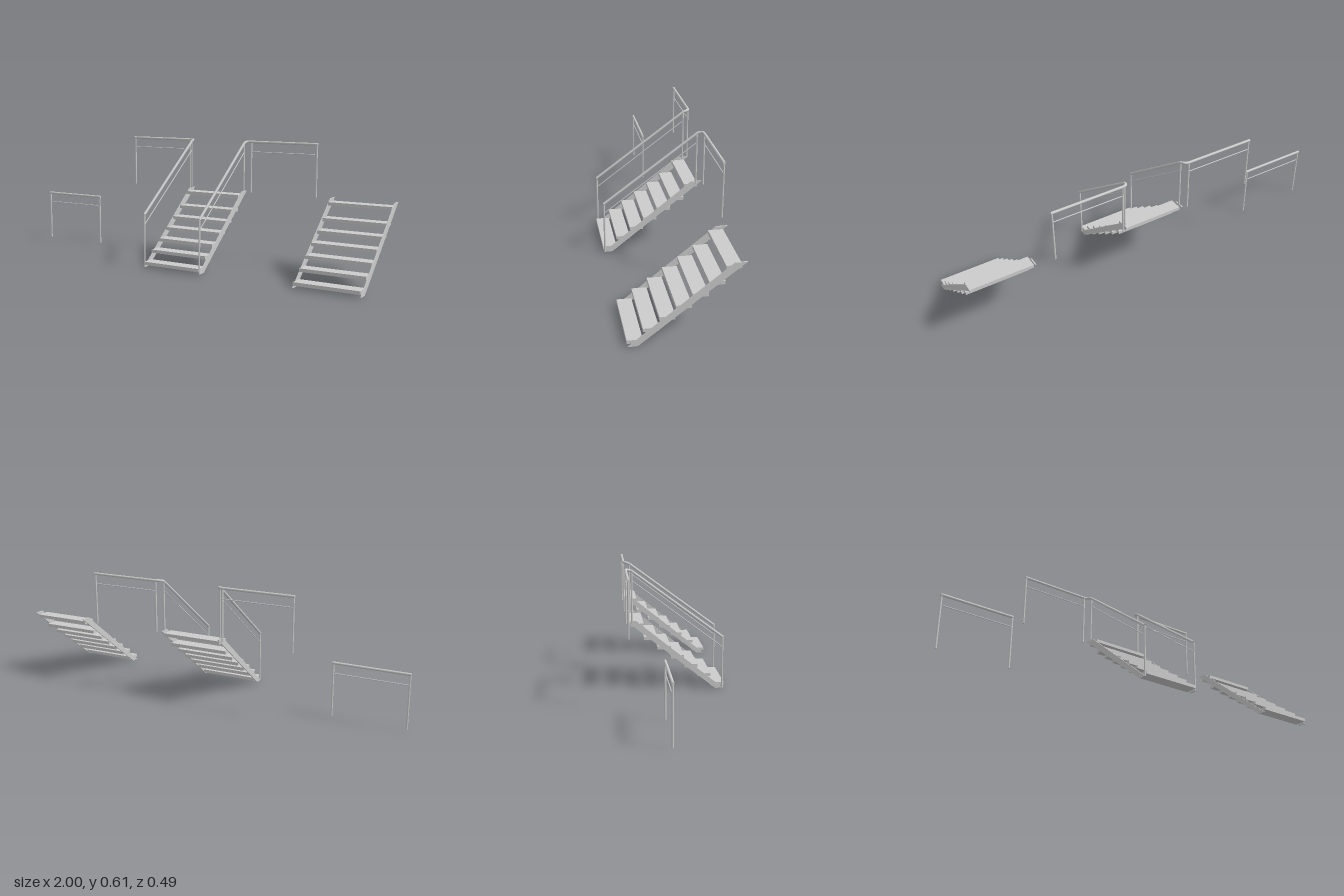
import * as THREE from 'three';

const mat = new THREE.MeshStandardMaterial({ color: 0xcccccc });
const V = (x, y, z) => new THREE.Vector3(x, y, z);

function add(group, geometry, name) {
  const mesh = new THREE.Mesh(geometry, mat);
  mesh.name = name;
  group.add(mesh);
  return mesh;
}

// Closed round bar between two points
function bar(group, a, b, radius, name) {
  const mesh = add(group, new THREE.CylinderGeometry(radius, radius, a.distanceTo(b), 12), name);
  mesh.position.copy(a).add(b).multiplyScalar(0.5);
  mesh.quaternion.setFromUnitVectors(V(0, 1, 0), b.clone().sub(a).normalize());
}

const POST = 0.0045, RAIL = 0.0065, THIN = 0.0025;

// Open flight: seven treads between two slanted stringers
function stair(cx) {
  const g = new THREE.Group();
  g.name = 'stair';
  const treadY = [0.02, 0.069, 0.116, 0.163, 0.21, 0.259, 0.326];
  treadY.forEach((y, i) => {
    const tread = add(g, new THREE.BoxGeometry(0.308, 0.016, 0.066), 'tread');
    tread.position.set(0, y, 0.215 - i * 0.0668);
  });
  // Profile drawn in (-z, y), then turned to stand along z
  const profile = new THREE.Shape([[-0.243, 0], [-0.203, 0], [0.238, 0.348], [0.189, 0.348]]
    .map(([u, v]) => new THREE.Vector2(u, v)));
  const t = 0.006;
  for (const s of [-1, 1]) {
    const geo = new THREE.ExtrudeGeometry(profile, { depth: t, bevelEnabled: false });
    geo.translate(0, 0, -t / 2).rotateY(Math.PI / 2);
    add(g, geo, 'stringer').position.x = s * 0.156;
  }
  g.position.x = cx;
  return g;
}

// Two posts and a thin mid rail, parallel to x
function levelFrame(g, x0, x1, y0, y1, z) {
  for (const x of [x0, x1]) bar(g, V(x, y0, z), V(x, y1, z), POST, 'post');
  bar(g, V(x0, y1 - 0.051, z), V(x1, y1 - 0.051, z), THIN, 'midRail');
}

// Handrail climbing one side of the flight, then turning outward along the landing
function stairRailing(x, side) {
  const g = new THREE.Group();
  g.name = 'stairRailing';
  const top = 0.601, zBack = -0.24;
  const bendStart = V(x, 0.596, -0.212), corner = V(x, top + 0.003, zBack);
  const bendEnd = V(x + side * 0.026, top, zBack), end = V(x + side * 0.39, top, zBack);

  bar(g, V(x, 0.261, 0.2395), bendStart, RAIL, 'slopedHandrail');
  add(g, new THREE.TubeGeometry(new THREE.QuadraticBezierCurve3(bendStart, corner, bendEnd),
    10, RAIL, 12), 'handrailBend');
  bar(g, bendEnd, end, RAIL, 'landingHandrail');

  bar(g, V(x, 0, 0.239), V(x, 0.262, 0.239), POST, 'lowerPost');
  bar(g, V(x, 0.335, -0.21), V(x, 0.594, -0.21), POST, 'upperPost');
  bar(g, V(x, 0.212, 0.237), V(x, 0.546, -0.208), THIN, 'slopedMidRail');
  levelFrame(g, x + side * 0.027, x + side * 0.385, 0.34, top, zBack);
  return g;
}

export function createModel() {
  const model = new THREE.Group();
  model.name = 'stairsAndRailings';

  // Railed flight, and a bare flight beside it
  model.add(stair(0.048), stair(0.841));
  model.add(stairRailing(-0.108, -1), stairRailing(0.204, 1));

  // Free-standing straight railing
  const straight = new THREE.Group();
  straight.name = 'straightRailing';
  levelFrame(straight, -0.995, -0.637, 0.012, 0.272, -0.09);
  bar(straight, V(-1, 0.272, -0.09), V(-0.632, 0.272, -0.09), RAIL, 'handrail');
  model.add(straight);

  return model;
}
